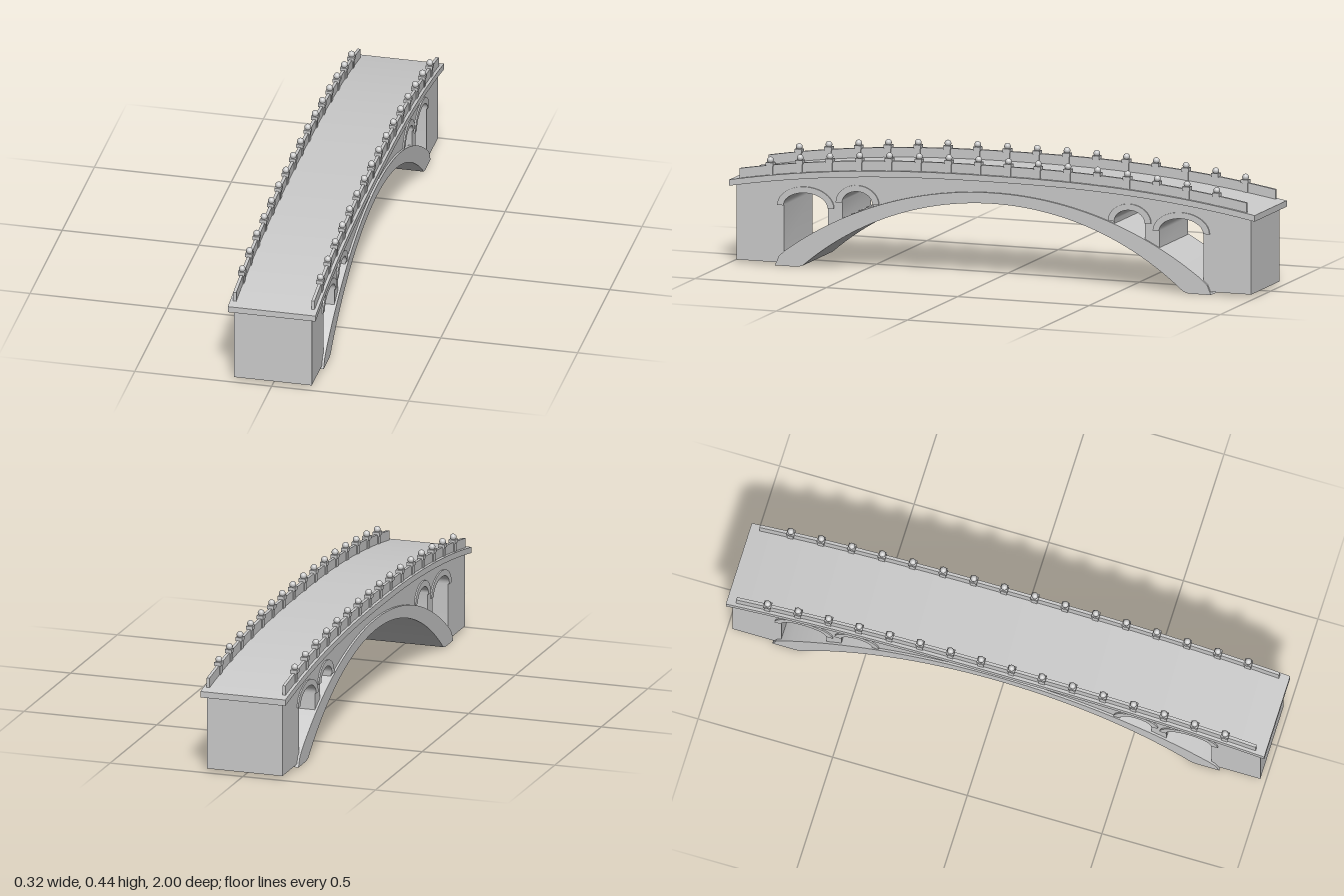
import * as THREE from 'three';
import { toCreasedNormals } from 'three/addons/utils/BufferGeometryUtils.js';

const material = new THREE.MeshStandardMaterial({ color: 0xcccccc });

// Height rules along the bridge
const deckY = z => 0.378 - 0.078 * Math.pow(Math.abs(z), 2.4);
const circleY = (top, r) => z => top - r + Math.sqrt(r * r - z * z);
const intrados = circleY(0.276, 1.106);
const extrados = circleY(0.315, 1.34);

// Points [z, y] sampled on a height rule
function sample(f, z0, z1, n, dy = 0) {
  return Array.from({ length: n + 1 }, (_, i) => {
    const z = z0 + (z1 - z0) * i / n;
    return new THREE.Vector2(z, f(z) + dy);
  });
}

// Half-ellipse from the +z side over the top to the -z side
function archPoints(z, y, rz, ry, n = 20) {
  return Array.from({ length: n + 1 }, (_, i) => {
    const a = Math.PI * i / n;
    return new THREE.Vector2(z + rz * Math.cos(a), y + ry * Math.sin(a));
  });
}

// Side profile (z, y) extruded across the bridge, centred on x
function profile(name, points, width, x = 0, holes = []) {
  const shape = new THREE.Shape(points);
  shape.holes = holes.map(h => new THREE.Path(h));
  const geo = new THREE.ExtrudeGeometry(shape, { depth: width, bevelEnabled: false });
  geo.translate(0, 0, -width / 2).rotateY(-Math.PI / 2).translate(x, 0, 0);
  const mesh = new THREE.Mesh(toCreasedNormals(geo, 0.35), material);
  mesh.name = name;
  return mesh;
}

// Band following a height rule between two offsets
const band = (f, half, low, high) =>
  [...sample(f, half, -half, 56, low), ...sample(f, -half, half, 56, high)];

const v = (z, y) => new THREE.Vector2(z, y);

export function createModel() {
  const bridge = new THREE.Group();
  bridge.name = 'archBridge';

  // Spandrel openings: centre, half width, spring height, rise
  const openings = [];
  for (const s of [1, -1]) {
    openings.push({ z: s * 0.715, rz: 0.084, y: 0.218, ry: 0.05 });
    openings.push({ z: s * 0.518, rz: 0.058, y: 0.242, ry: 0.044 });
  }
  const holes = openings.map(o => [
    ...archPoints(o.z, o.y, o.rz, o.ry),
    ...sample(extrados, o.z - o.rz, o.z + o.rz, 8, -0.006),
  ]);

  // Spandrel walls and abutments
  bridge.add(profile('bridgeBody', [
    v(0.98, 0.01), ...sample(deckY, 0.98, -0.98, 56, -0.012), v(-0.98, 0.01),
    v(-0.73, 0.01), ...sample(intrados, -0.71, 0.71, 48, 0.012), v(0.73, 0.01),
  ], 0.284, 0, holes));

  // Main arch ring with flat springers
  bridge.add(profile('mainArch', [
    v(0.83, 0), v(0.815, 0.035), ...sample(extrados, 0.79, -0.79, 56), v(-0.815, 0.035), v(-0.83, 0),
    v(-0.745, 0), ...sample(intrados, -0.725, 0.725, 56), v(0.745, 0),
  ], 0.3));

  // Raised mouldings over the openings
  for (const side of [1, -1]) {
    for (const o of openings) {
      bridge.add(profile('archMoulding', [
        ...archPoints(o.z, o.y, o.rz + 0.024, o.ry + 0.022),
        ...archPoints(o.z, o.y, o.rz, o.ry).reverse(),
      ], 0.01, side * 0.142));
    }
  }

  // Roadway slab
  bridge.add(profile('deck', band(deckY, 1, -0.022, 0), 0.32));

  // Parapets with posts
  const bodyGeo = new THREE.BoxGeometry(0.018, 0.04, 0.022).translate(0, 0.015, 0);
  const capGeo = new THREE.BoxGeometry(0.025, 0.013, 0.028).translate(0, 0.0385, 0);
  const neckGeo = new THREE.CylinderGeometry(0.006, 0.008, 0.008, 12).translate(0, 0.047, 0);
  const ballGeo = new THREE.SphereGeometry(0.012, 16, 12).translate(0, 0.053, 0);
  for (const side of [1, -1]) {
    bridge.add(profile('parapet', band(deckY, 0.965, -0.005, 0.035), 0.011, side * 0.143));
    for (let i = 0; i < 16; i++) {
      const post = new THREE.Group();
      post.name = 'parapetPost';
      const z = (i - 7.5) * 0.1133;
      post.position.set(side * 0.143, deckY(z), z);
      for (const [name, geo] of [['postBody', bodyGeo], ['postCap', capGeo], ['postNeck', neckGeo], ['postBall', ballGeo]]) {
        const mesh = new THREE.Mesh(geo, material);
        mesh.name = name;
        post.add(mesh);
      }
      bridge.add(post);
    }
  }
  return bridge;
}
